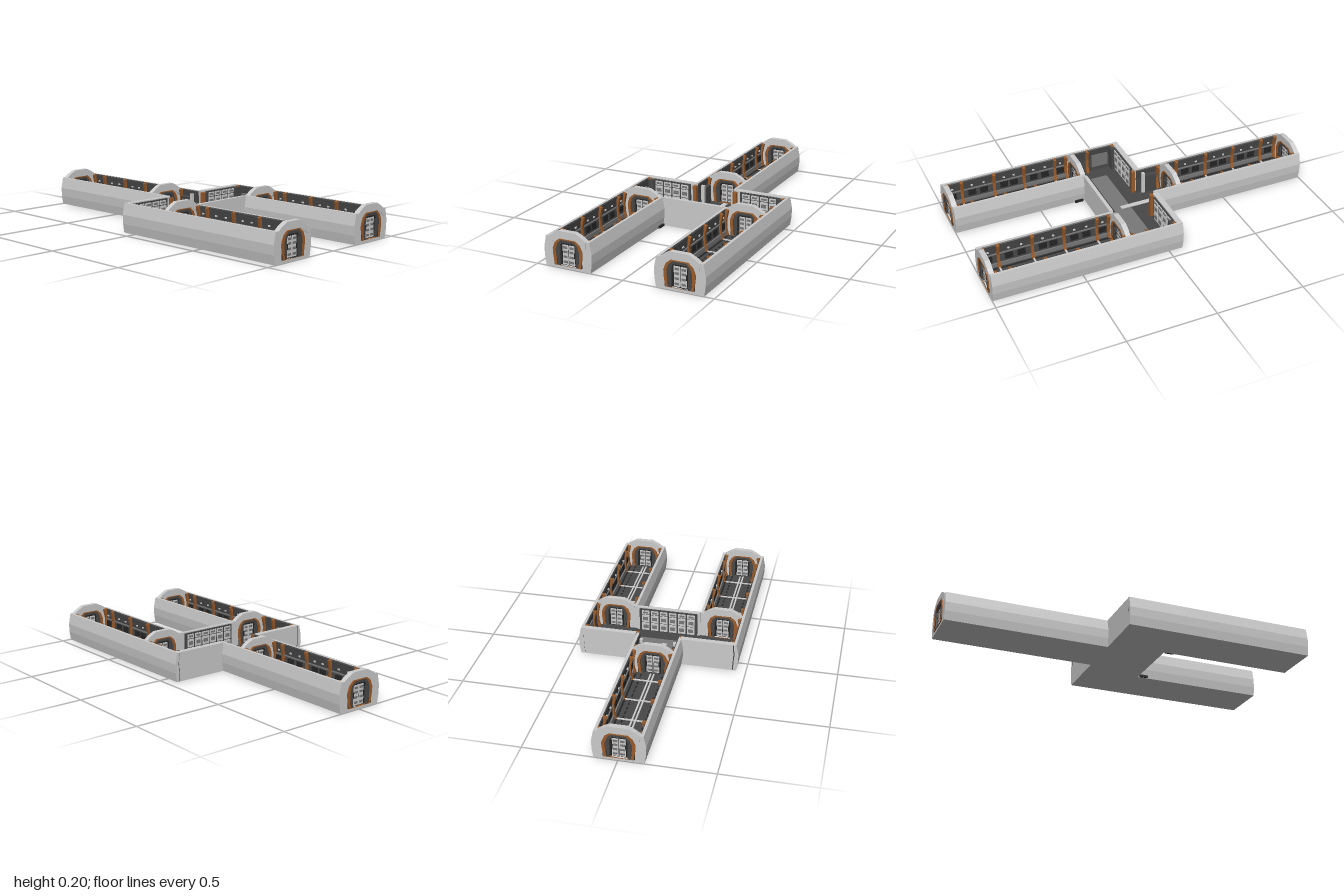
import * as THREE from 'three';

const mat = (color) => new THREE.MeshStandardMaterial({ color, flatShading: true });
const GREY = mat(0xcccccc), DARK = mat(0x484848), BLACK = mat(0x262626), MID = mat(0x787878), BROWN = mat(0x9a5c2c);

const H = 0.163, FLOOR = 0.015;

function add(parent, name, geo, material, x = 0, y = 0, z = 0) {
  const m = new THREE.Mesh(geo, material);
  m.name = name;
  m.position.set(x, y, z);
  parent.add(m);
  return m;
}
const box = (p, name, m, w, h, d, x, y, z) => add(p, name, new THREE.BoxGeometry(w, h, d), m, x, y, z);

const group = (parent, name) => {
  const g = new THREE.Group();
  g.name = name;
  parent.add(g);
  return g;
};

// Extrudes an outline in x/y from z0 to z1, with optional hole
function prism(p, name, m, pts, z0, z1, hole) {
  const shape = new THREE.Shape(pts.map(([x, y]) => new THREE.Vector2(x, y)));
  if (hole) shape.holes.push(new THREE.Path(hole.map(([x, y]) => new THREE.Vector2(x, y))));
  return add(p, name, new THREE.ExtrudeGeometry(shape, { depth: z1 - z0, bevelEnabled: false }), m, 0, 0, z0);
}

// Completes a right-hand half outline (bottom to top) with its mirror image
const mirror = (half) => [...half, ...half.map(([x, y]) => [-x, y]).reverse()];
const flip = (pts, s) => pts.map(([x, y]) => [x * s, y]);

const OUTER = [[0.13, 0], [0.138, 0.05], [0.14, 0.1], [0.127, H]];
const INNER = [[0.112, 0], [0.114, 0.05], [0.118, 0.1], [0.112, H]];
const LINER = [[0.106, 0.01], [0.109, 0.05], [0.112, 0.1], [0.107, 0.158]];
const RIB = [[0.088, 0.01], [0.1, 0.05], [0.102, 0.1], [0.09, 0.158]];
const band = (a, b) => [...a, ...[...b].reverse()];

const doorway = (hw, y0, y1) => mirror([
  [hw * 0.9, y0], [hw, y0 + (y1 - y0) * 0.45], [hw, y0 + (y1 - y0) * 0.62],
  [hw * 0.84, y0 + (y1 - y0) * 0.86], [hw * 0.55, y1]]);

// One bulging wall with its dark lining, on side s
function wall(p, s, z0, z1) {
  prism(p, 'outerWall', GREY, flip(band(OUTER, INNER), s), z0, z1);
  prism(p, 'wallLining', DARK, flip(band(INNER, LINER), s), z0, z1);
}

const rib = (p, s, z, d = 0.016) => prism(p, 'wallRib', BROWN, flip(band(INNER, RIB), s), z - d / 2, z + d / 2);

// Bulkhead with raised cap, framed doorway and sliding door
function bulkhead(parent, z) {
  const g = group(parent, 'bulkhead');
  g.position.z = z;
  const opening = doorway(0.086, FLOOR, 0.158);
  const frameEdge = doorway(0.069, FLOOR, 0.153);
  const inner = mirror([[0.046, FLOOR], [0.046, 0.118], [0.034, 0.138]]);
  prism(g, 'bulkheadPlate', GREY, mirror(OUTER), -0.011, 0.011, opening);
  const cap = mirror([[0.107, 0.124], [0.11, H], [0.085, 0.181], [0.048, 0.2]]);
  cap.push([-0.082, 0.145], [-0.046, 0.16], [0.046, 0.16], [0.082, 0.145]);
  prism(g, 'bulkheadCap', GREY, cap, -0.014, 0.014);
  prism(g, 'doorSurround', BROWN, opening, -0.016, 0.016, frameEdge);
  prism(g, 'doorFrame', DARK, frameEdge, -0.013, 0.013, inner);
  box(g, 'doorBacking', BLACK, 0.092, 0.122, 0.004, 0, 0.077, 0);
  for (const s of [-1, 1]) {
    box(g, 'doorLeaf', GREY, 0.033, 0.106, 0.01, s * 0.0185, 0.073, 0);
    for (const y of [0.035, 0.062, 0.089, 0.112]) box(g, 'doorInset', MID, 0.024, 0.012, 0.013, s * 0.0185, y, 0);
    box(g, 'doorHandle', BLACK, 0.008, 0.03, 0.015, s * 0.037, 0.075, 0);
    box(g, 'controlBox', BLACK, 0.02, 0.03, 0.028, s * 0.072, 0.032, 0);
  }
}

// Floor slab with dark deck
function deck(p, w, z0, z1, x = 0) {
  const d = z1 - z0, z = (z0 + z1) / 2;
  box(p, 'floorSlab', GREY, w, 0.012, d, x, 0.006, z);
  box(p, 'deck', DARK, w - 0.01, 0.006, d - 0.002, x, 0.012, z);
}

// Corridor runs along local +z, starting at its inner bulkhead
function corridor(parent, x, z, len, turn) {
  const g = group(parent, 'corridor');
  g.position.set(x, 0, z);
  g.rotation.y = turn;
  deck(g, 0.25, 0, len);
  const ribs = [0.09, 0.28, 0.46, 0.65];
  const mid = len / 2;
  for (const s of [-1, 1]) {
    wall(g, s, 0, len);
    box(g, 'centreRail', GREY, 0.009, 0.006, len - 0.04, s * 0.009, 0.017, mid);
    box(g, 'floorGutter', BLACK, 0.01, 0.003, len - 0.04, s * 0.092, 0.0155, mid);
    box(g, 'wallRail', MID, 0.006, 0.007, len - 0.03, s * 0.108, 0.1, mid);
    box(g, 'kickPanel', MID, 0.008, 0.022, len - 0.03, s * 0.104, 0.032, mid);
    for (const r of [...ribs, 0.022, len - 0.022]) rib(g, s, r);
    // Floor slots and small wall lamps
    for (let i = 0; i < 18; i++) box(g, 'floorSlot', BLACK, 0.008, 0.003, 0.022, s * 0.06, 0.0155, 0.04 + i * 0.04);
    for (const r of [0.055, 0.15, 0.22, 0.34, 0.4, 0.52, 0.59, 0.705]) {
      box(g, 'wallPanel', BLACK, 0.006, 0.035, 0.045, s * 0.109, 0.072, r);
      box(g, 'wallLamp', GREY, 0.006, 0.008, 0.012, s * 0.107, 0.122, r);
    }
  }
  for (const r of ribs) box(g, 'floorCrossbar', GREY, 0.2, 0.005, 0.01, 0, 0.0165, r);
  bulkhead(g, 0);
  bulkhead(g, len);
}

// Grid of light wall panels on a dark backing; face is +1 or -1 along z
function panelWall(parent, x, z, w, cols, face) {
  const g = group(parent, 'panelWall');
  g.position.set(x, 0, z);
  box(g, 'panelBacking', DARK, w + 0.02, 0.145, 0.008, 0, 0.085, 0);
  const cw = w / cols;
  for (let i = 0; i < cols; i++) {
    const px = -w / 2 + cw * (i + 0.5);
    for (const [y, h] of [[0.046, 0.048], [0.098, 0.046], [0.138, 0.024]]) {
      box(g, 'panel', GREY, cw * 0.84, h, 0.006, px, y, face * 0.005);
      box(g, 'panelInset', MID, cw * 0.55, h * 0.45, 0.003, px, y, face * 0.008);
    }
  }
}

function hall(parent) {
  const g = group(parent, 'hall');
  deck(g, 0.87, -0.078, 0.235);
  // Side walls continue the outer walls of the front corridors
  for (const s of [-1, 1]) {
    const side = group(g, 'hallSide');
    side.position.x = s * 0.315;
    wall(side, s, -0.08, 0.235);
    for (const z of [-0.04, 0.12, 0.205]) rib(side, s, z);
    box(side, 'sidePanel', MID, 0.006, 0.08, 0.1, s * 0.107, 0.08, 0.04);
    // Back wall, with panels facing the hall
    box(g, 'backWall', GREY, 0.315, H, 0.03, s * 0.285, H / 2, -0.065);
    panelWall(g, s * 0.275, -0.046, 0.22, 4, 1);
    box(g, 'cornerLocker', DARK, 0.035, 0.14, 0.03, s * 0.4, 0.085, -0.035);
    box(g, 'entryPost', BROWN, 0.022, 0.14, 0.02, s * 0.125, 0.085, -0.042);
    box(g, 'footVent', BLACK, 0.016, 0.013, 0.05, s * 0.181, 0.0075, 0.27);
  }
  // Front wall between the two corridors
  box(g, 'frontWall', GREY, 0.37, H, 0.02, 0, H / 2, 0.225);
  panelWall(g, 0, 0.211, 0.32, 6, -1);
  box(g, 'floorInlay', MID, 0.68, 0.003, 0.1, 0, 0.0155, 0.08);
  box(g, 'floorStrip', GREY, 0.028, 0.004, 0.28, -0.005, 0.017, -0.055);
}

// Short passage joining the hall and the back corridor
function passage(parent) {
  const g = group(parent, 'passage');
  g.position.x = -0.005;
  deck(g, 0.25, -0.22, -0.078);
  for (const s of [-1, 1]) {
    wall(g, s, -0.22, -0.06);
    rib(g, s, -0.19);
    box(g, 'passageCabinet', DARK, 0.025, 0.11, 0.07, s * 0.098, 0.07, -0.14);
    box(g, 'passagePost', GREY, 0.018, 0.13, 0.018, s * 0.095, 0.08, -0.095);
  }
}

export function createModel() {
  const model = new THREE.Group();
  model.name = 'corridorComplex';
  hall(model);
  passage(model);
  for (const s of [-1, 1]) corridor(model, s * 0.315, 0.233, 0.753, 0);
  corridor(model, -0.005, -0.22, 0.766, Math.PI);
  return model;
}
